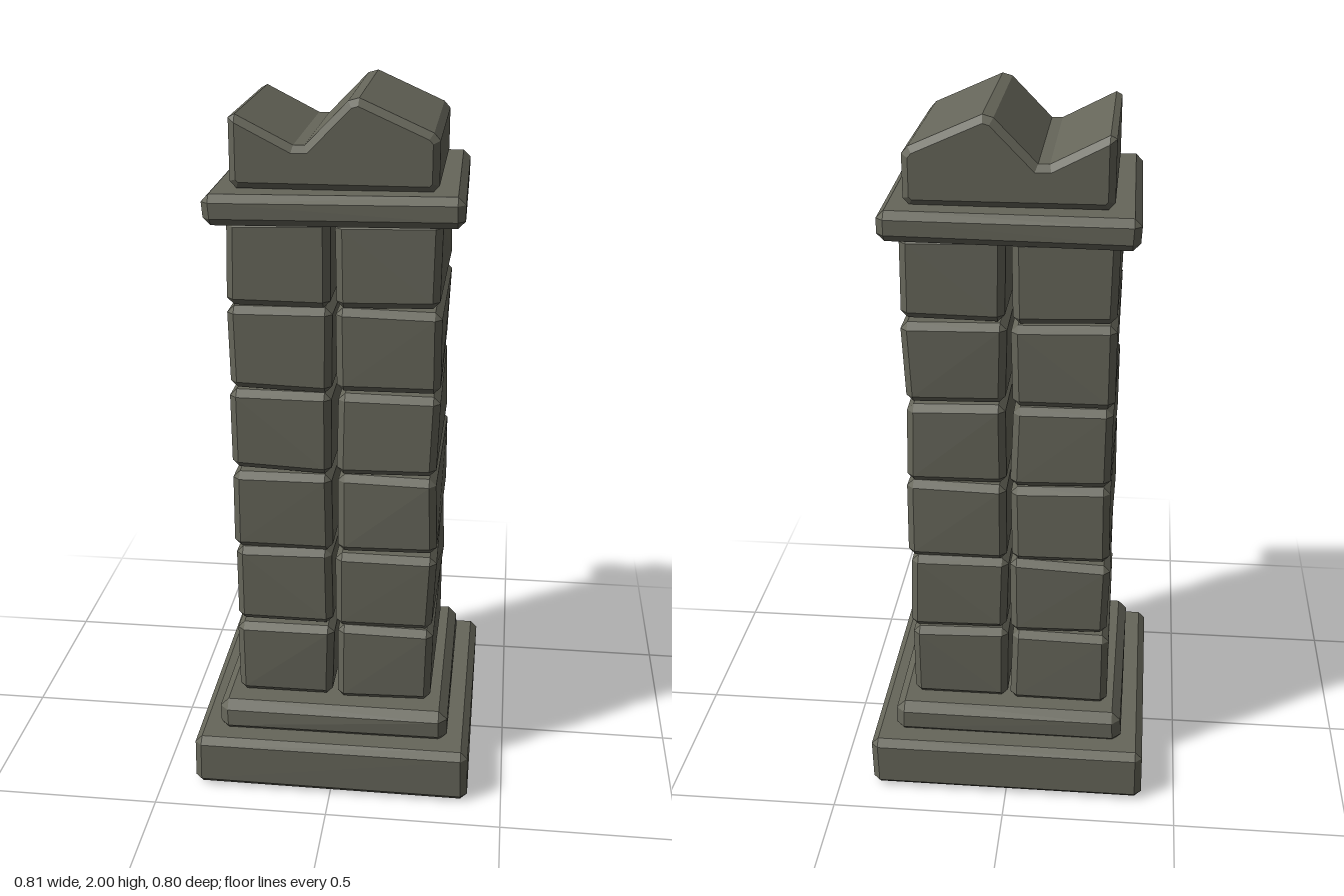
import * as THREE from 'three';
import { ConvexGeometry } from 'three/addons/geometries/ConvexGeometry.js';

// Small seeded generator for the hand-cut irregularity of the stones
function seeded(seed) {
  let s = seed;
  return () => {
    s = (s * 16807) % 2147483647;
    return s / 2147483647;
  };
}

// Block with every edge chamfered by c; corners wander by up to j
function stoneGeometry(w, h, d, c, j = 0, rand = () => 0.5) {
  const points = [];
  const wander = () => (rand() - 0.5) * 2 * j;
  for (const sx of [-1, 1]) for (const sy of [-1, 1]) for (const sz of [-1, 1]) {
    const x = sx * w / 2 + wander();
    const y = sy * h / 2 + wander();
    const z = sz * d / 2 + wander();
    points.push(
      new THREE.Vector3(x, y - sy * c, z - sz * c),
      new THREE.Vector3(x - sx * c, y, z - sz * c),
      new THREE.Vector3(x - sx * c, y - sy * c, z),
    );
  }
  return new ConvexGeometry(points);
}

export function createModel() {
  const group = new THREE.Group();
  const stone = new THREE.MeshStandardMaterial({ color: 0x66665a });
  stone.name = 'weathered stone';
  const rand = seeded(4217);

  const add = (name, geometry, x, y, z) => {
    const mesh = new THREE.Mesh(geometry, stone);
    mesh.name = name;
    mesh.position.set(x, y, z);
    group.add(mesh);
    return mesh;
  };

  // Stepped foot
  add('base', stoneGeometry(0.802, 0.158, 0.802, 0.02, 0.002, rand), 0, 0.08, 0);
  add('plinth', stoneGeometry(0.67, 0.1, 0.67, 0.025, 0.003, rand), 0, 0.198, 0);

  // Shaft: six courses of paired blocks with an open joint down the middle
  const column = new THREE.Group();
  column.name = 'shaft';
  group.add(column);
  for (let row = 0; row < 6; row++) {
    for (const side of [-1, 1]) {
      const block = add(side < 0 ? 'rightBlock' : 'leftBlock',
        stoneGeometry(0.279, 0.234, 0.55, 0.019, 0.005, rand),
        side * 0.146, 0.366 + row * 0.2405, 0);
      column.add(block);
    }
  }

  // Slightly crooked cap slab
  const cap = add('capSlab', stoneGeometry(0.675, 0.082, 0.675, 0.02, 0.002, rand), 0, 1.721, 0);
  cap.rotation.set(0, 0.012, 0.012);

  // Broken crown: notched profile extruded front to back with a chamfer
  const profile = [
    [-0.255, 1.762], [0.255, 1.762], [0.272, 1.78], [0.272, 1.895],
    [0.255, 1.914], [0.065, 1.998], [0.037, 1.99], [-0.075, 1.876],
    [-0.105, 1.876], [-0.255, 1.952], [-0.272, 1.943], [-0.272, 1.78],
  ];
  const shape = new THREE.Shape(profile.map(([x, y]) => new THREE.Vector2(x, y)));
  const bevel = 0.018;
  const crown = new THREE.ExtrudeGeometry(shape, {
    depth: 0.548 - 2 * bevel,
    bevelEnabled: true,
    bevelThickness: bevel,
    bevelSize: bevel,
    bevelOffset: -bevel,
    bevelSegments: 1,
  });
  crown.translate(0, 0, -0.274 + bevel);
  add('brokenCrown', crown, 0, 0, 0);

  return group;
}
